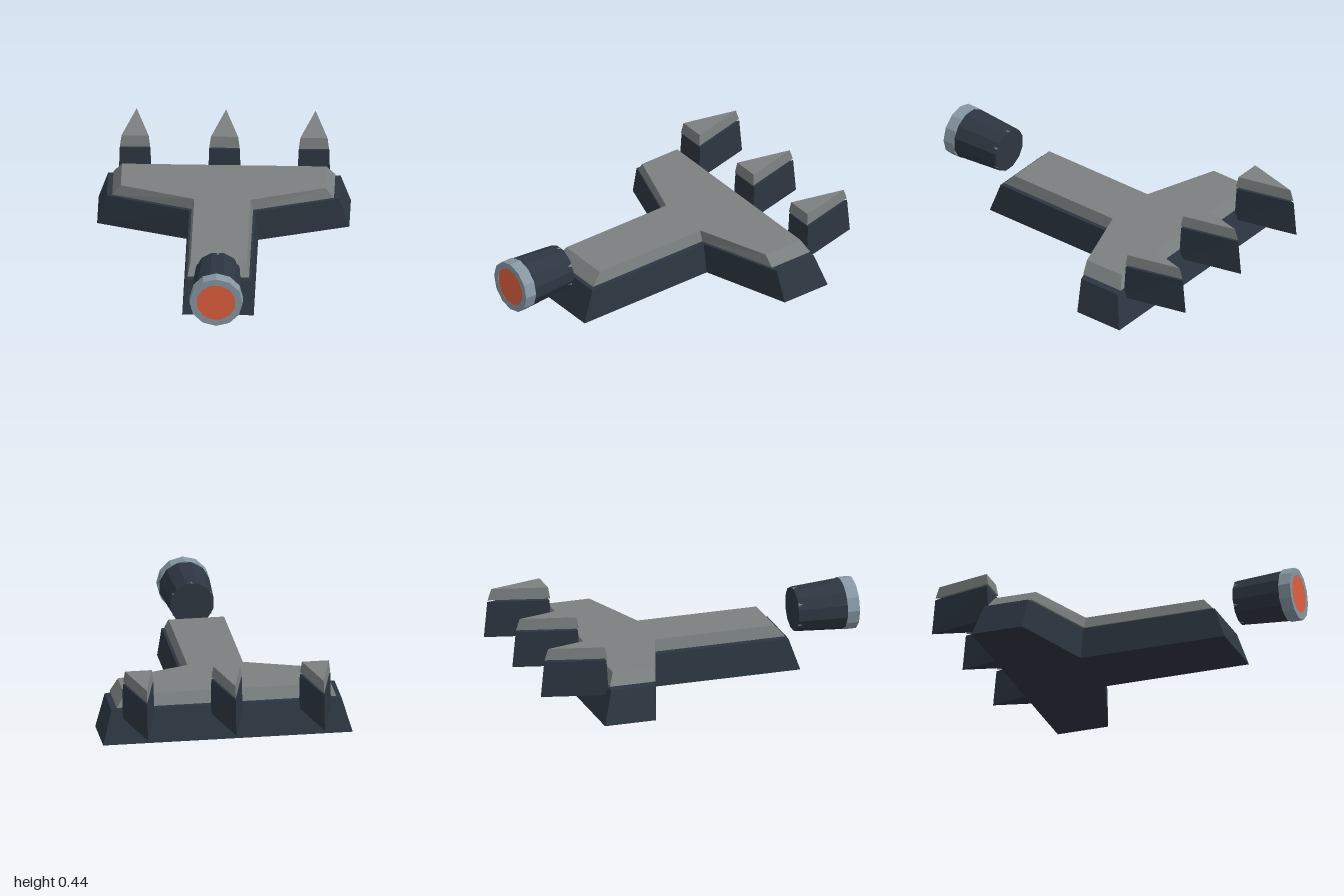
import * as THREE from 'three';

const mat = (color) => new THREE.MeshStandardMaterial({ color, flatShading: true });

// Solid between two outlines of [x, z] points, counter-clockwise seen from above
function loft(bottom, top, y0, y1) {
  const pos = [];
  const push = (p, y) => pos.push(p[0], y, p[1]);
  const n = bottom.length;
  for (let i = 0; i < n; i++) {
    const j = (i + 1) % n;
    push(bottom[i], y0); push(bottom[j], y0); push(top[j], y1);
    push(bottom[i], y0); push(top[j], y1); push(top[i], y1);
  }
  const faces = (o) => THREE.ShapeUtils.triangulateShape(o.map(([x, z]) => new THREE.Vector2(x, -z)), []);
  for (const [a, b, c] of faces(top)) [a, b, c].forEach((k) => push(top[k], y1));
  for (const [a, b, c] of faces(bottom)) [c, b, a].forEach((k) => push(bottom[k], y0));
  const g = new THREE.BufferGeometry();
  g.setAttribute('position', new THREE.Float32BufferAttribute(pos, 3));
  g.computeVertexNormals();
  return g;
}

// T-shaped outline: stem half width, stem front, inner corner, arm half width, arm front, back
function tee(stem, front, inner, arm, armFront, back) {
  const half = [[stem, front], [stem, inner], [arm, armFront], [arm, back]];
  return [...half, ...half.map(([x, z]) => [-x, z]).reverse()];
}

// Triangular outline pointing backwards
const wedge = (w, front, tip) => [[-w, front], [w, front], [0, tip]];

export function createModel() {
  const model = new THREE.Group();
  const dark = mat(0x2d3641), grey = mat(0x7b8080), steel = mat(0x8698a4), orange = mat(0xe0603c);
  const add = (parent, name, geometry, material) => {
    const m = new THREE.Mesh(geometry, material);
    m.name = name;
    parent.add(m);
    return m;
  };

  // Hull and the plate floating just above it
  add(model, 'hull', loft(
    tee(0.2, 0.63, -0.225, 0.705, -0.39, -0.69),
    tee(0.185, 0.565, -0.215, 0.65, -0.375, -0.635), 0, 0.187), dark);
  add(model, 'topPlate', loft(
    tee(0.172, 0.55, -0.215, 0.62, -0.365, -0.632),
    tee(0.157, 0.49, -0.21, 0.572, -0.355, -0.6), 0.198, 0.265), grey);

  // Three prongs along the back
  for (const x of [-0.5, 0, 0.5]) {
    const prong = new THREE.Group();
    prong.name = 'prong';
    prong.position.x = x;
    add(prong, 'prongBase', loft(wedge(0.09, -0.63, -1), wedge(0.087, -0.642, -0.98), 0.138, 0.345), dark);
    add(prong, 'prongCap', loft(wedge(0.085, -0.637, -0.978), wedge(0.076, -0.647, -0.957), 0.355, 0.42), grey);
    model.add(prong);
  }

  // Thruster, lying along z
  const thruster = new THREE.Group();
  thruster.name = 'thruster';
  thruster.position.y = 0.2875;
  model.add(thruster);
  const barrel = (name, rFront, rBack, z0, z1, sides, turn, material) => {
    const g = new THREE.CylinderGeometry(rFront, rBack, z1 - z0, sides);
    g.rotateY(turn).rotateX(Math.PI / 2).translate(0, 0, (z0 + z1) / 2);
    return add(thruster, name, g, material);
  };
  barrel('thrusterBody', 0.145, 0.126, 0.65, 0.93, 12, Math.PI / 12, dark);
  // Core whose corners just break through the rear of the body
  barrel('thrusterCore', 0.118, 0.127, 0.651, 0.72, 6, 0, grey);
  barrel('nozzleGlow', 0.111, 0.111, 0.935, 0.999, 12, Math.PI / 12, orange);

  // Nozzle ring with an opening for the glow
  const ngon = (r, turn) => Array.from({ length: 12 }, (_, i) => {
    const a = (i * Math.PI) / 6 + turn;
    return new THREE.Vector2(r * Math.cos(a), r * Math.sin(a));
  });
  const ring = new THREE.Shape(ngon(0.149, 0));
  ring.holes.push(new THREE.Path(ngon(0.111, Math.PI / 12)));
  add(thruster, 'nozzleRing', new THREE.ExtrudeGeometry(ring, { depth: 0.07, bevelEnabled: false })
    .translate(0, 0, 0.93), steel);

  return model;
}
